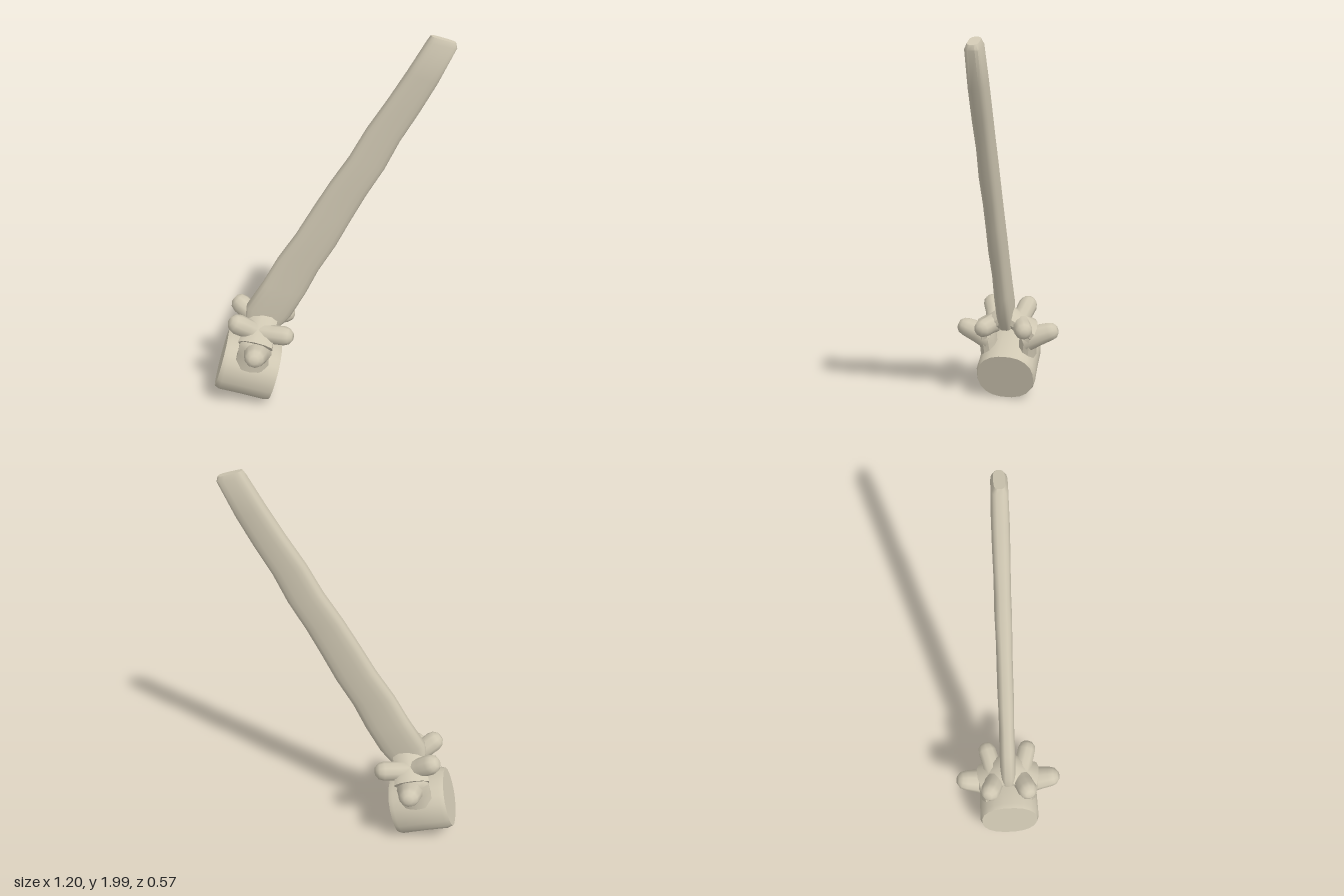
import * as THREE from 'three';
import { toCreasedNormals } from 'three/addons/utils/BufferGeometryUtils.js';

const V = (x, y, z) => new THREE.Vector3(x, y, z);

// Closed skin through rings { c: centre, u, v: half-axis vectors }; e squares the section off.
function loft(rings, n, e = 2) {
  const pos = [], index = [];
  const bend = (t) => Math.sign(t) * Math.pow(Math.abs(t), 2 / e);
  for (const { c, u, v } of rings) {
    for (let j = 0; j < n; j++) {
      const a = ((j + 0.5) / n) * Math.PI * 2;
      const p = c.clone().addScaledVector(u, bend(Math.cos(a))).addScaledVector(v, bend(Math.sin(a)));
      pos.push(p.x, p.y, p.z);
    }
  }
  const m = rings.length, first = m * n, last = first + 1;
  for (const r of [rings[0], rings[m - 1]]) pos.push(r.c.x, r.c.y, r.c.z);
  for (let j = 0; j < n; j++) {
    const k = (j + 1) % n;
    for (let i = 0; i < m - 1; i++) {
      const a = i * n + j, b = i * n + k;
      index.push(a, b, b + n, a, b + n, a + n);
    }
    index.push(first, k, j, last, (m - 1) * n + j, (m - 1) * n + k);
  }
  const g = new THREE.BufferGeometry();
  g.setAttribute('position', new THREE.Float32BufferAttribute(pos, 3));
  g.setIndex(index);
  return toCreasedNormals(g, 0.85);
}

// Rounded stub from a to b (b is the centre of its domed tip); wide stretches it along ref.
function limb(a, b, r0, r1, wide = 1, ref = V(1, 0, 0)) {
  const w = b.clone().sub(a).normalize();
  const u = ref.clone().addScaledVector(w, -ref.dot(w)).normalize();
  const v = w.clone().cross(u);
  const ring = (c, r) => ({ c, u: u.clone().multiplyScalar(r * wide), v: v.clone().multiplyScalar(r) });
  const rings = [ring(a.clone(), r0), ring(a.clone().lerp(b, 0.55), (r0 + r1) / 2 - 0.003), ring(b.clone(), r1)];
  for (const t of [0.55, 0.9]) {
    rings.push(ring(b.clone().addScaledVector(w, r1 * t), r1 * Math.sqrt(1 - t * t)));
  }
  return loft(rings, 10);
}

export function createModel() {
  const root = new THREE.Group();
  root.name = 'vertebra';
  const bone = new THREE.MeshStandardMaterial({ color: 0xcfc7b2 });
  bone.name = 'bone';
  const add = (name, geometry) => {
    const mesh = new THREE.Mesh(geometry, bone);
    mesh.name = name;
    root.add(mesh);
  };

  // Drum-shaped body, tipped down towards +x
  const axis = V(0.957, -0.29, 0), up = V(0.29, 0.957, 0);
  const drum = [[-0.15, 0.94], [-0.125, 1], [0, 0.99], [0.125, 1], [0.15, 0.95]];
  add('vertebralBody', loft(drum.map(([t, s]) => ({
    c: V(-0.415, 0.191, 0).addScaledVector(axis, t),
    u: V(0, 0, 0.166 * s),
    v: up.clone().multiplyScalar(-0.152 * s),
  })), 20, 2.3));

  // Long blade: left and right edges in profile, with a gentle surface ripple
  const blade = [
    { l: [-0.42, 0.47], r: [-0.25, 0.43], h: 0.036 },
    { l: [-0.41, 0.57], r: [-0.18, 0.51], h: 0.042 },
  ];
  for (let i = 1; i <= 9; i++) {
    const t = i / 10, k = 0.005 * Math.sin(i * 2.4);
    blade.push({
      l: [-0.41 + 0.875 * t + k, 0.57 + 1.405 * t],
      r: [-0.18 + 0.775 * t + k, 0.51 + 1.41 * t],
      h: 0.04 + k * 0.3,
    });
  }
  blade.push({ l: [0.462, 1.975], r: [0.598, 1.945], h: 0.037 }, { l: [0.478, 2.0], r: [0.592, 1.968], h: 0.025 });
  add('spinousProcess', loft(blade.map(({ l, r, h }) => ({
    c: V((l[0] + r[0]) / 2, (l[1] + r[1]) / 2, 0),
    u: V((r[0] - l[0]) / 2, (r[1] - l[1]) / 2, 0),
    v: V(0, 0, -h),
  })), 16, 3.4));

  // Arch and its paired processes
  for (const [s, side] of [[1, 'Left'], [-1, 'Right']]) {
    const P = (x, y, z) => V(x, y, z * s);
    add('pedicle' + side, limb(P(-0.39, 0.26, 0.105), P(-0.36, 0.40, 0.122), 0.055, 0.05, 1.75));
    add('lamina' + side, limb(P(-0.36, 0.405, 0.135), P(-0.325, 0.495, 0.01), 0.056, 0.05, 1.7));
    add('transverseProcess' + side, limb(P(-0.355, 0.35, 0.10), P(-0.355, 0.402, 0.235), 0.075, 0.052, 1.05));
    add('upperArticularProcess' + side,
      limb(P(-0.36, 0.445, 0.065), P(-0.449, 0.518, 0.10), 0.055, 0.053, 1, V(0, 0, 1)));
    add('lowerArticularProcess' + side,
      limb(P(-0.33, 0.445, 0.075), P(-0.208, 0.453, 0.11), 0.055, 0.05, 1, V(0, 0, 1)));
  }
  return root;
}
